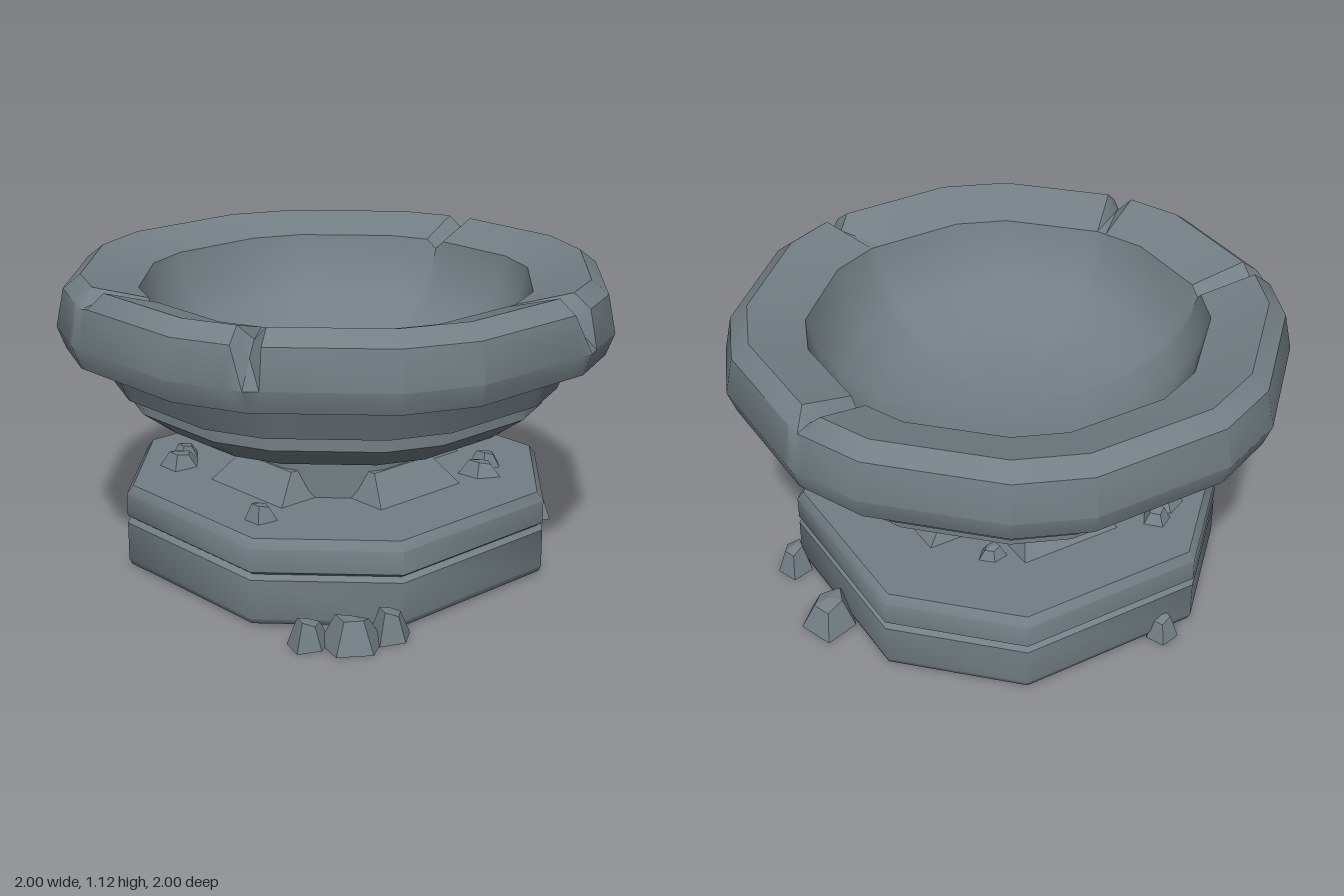
import * as THREE from 'three';
import { toCreasedNormals } from 'three/addons/utils/BufferGeometryUtils.js';

// Joins scaled copies of a section [x, z] along a profile of [scale, y].
// adjust(column, row, point) may shift single points.
function loft(section, profile, crease, adjust) {
  const pos = [], idx = [], n = section.length;
  profile.forEach(([s, y], j) => section.forEach((c) => {
    const p = adjust ? adjust(c, j, [s, y]) : [s, y];
    pos.push(c[0] * p[0], p[1], c[1] * p[0]);
  }));
  for (let j = 0; j < profile.length - 1; j++) {
    for (let i = 0; i < n; i++) {
      const k = (i + 1) % n;
      const a = j * n + i, b = j * n + k, c = a + n, d = b + n;
      if (profile[j][0] > 0) idx.push(a, b, c);
      if (profile[j + 1][0] > 0) idx.push(b, d, c);
    }
  }
  const g = new THREE.BufferGeometry();
  g.setAttribute('position', new THREE.Float32BufferAttribute(pos, 3));
  g.setIndex(idx);
  return toCreasedNormals(g, crease);
}

// Octagon-like outline, flat side at distance 1, repeated in each quarter
function quarters(points) {
  const out = [];
  for (let q = 0; q < 4; q++) {
    const c = Math.round(Math.cos(q * Math.PI / 2)), s = Math.round(Math.sin(q * Math.PI / 2));
    points.forEach(([x, z]) => out.push([x * c + z * s, z * c - x * s]));
  }
  return out;
}

export function createModel() {
  const model = new THREE.Group();
  const stone = new THREE.MeshStandardMaterial({ color: 0x737f85 });
  stone.name = 'grey stone';
  const add = (name, geometry, parent = model) => {
    const m = new THREE.Mesh(geometry, stone);
    m.name = name;
    parent.add(m);
    return m;
  };

  const round16 = quarters([[0.265, 1], [0.525, 0.89], [0.89, 0.525], [1, 0.265]]);
  const octagon = quarters([[0.49, 1], [1, 0.49]]);

  // Octagonal plinth: two slabs with a groove between them
  add('plinth', loft(octagon, [
    [0, 0], [0.7, 0], [0.722, 0.01], [0.73, 0.03], [0.73, 0.175], [0.71, 0.19],
    [0.73, 0.205], [0.73, 0.29], [0.708, 0.322], [0, 0.322],
  ], 0.83));

  // Stem with a sloping foot on four sides
  add('stem', loft(round16, [[0.35, 0.31], [0.35, 0.56]], 0.6));
  for (let q = 0; q < 4; q++) {
    const g = new THREE.BoxGeometry(1, 1, 1), p = g.attributes.position;
    for (let i = 0; i < p.count; i++) {
      const top = p.getY(i) > 0, front = p.getZ(i) > 0;
      p.setXYZ(i, p.getX(i) * (top ? 0.29 : 0.41), top ? 0.42 : 0.315,
        front ? (top ? 0.358 : 0.46) : 0.25);
    }
    add('stemFoot', toCreasedNormals(g, 0.2)).rotation.y = q * Math.PI / 2;
  }

  // Notch cuts per profile row: chips in the outer edge, or grooves across the rim
  const chip = { 9: [-0.045, -0.05], 10: [-0.03, -0.05] };
  const groove = { 9: [-0.01, -0.01], 10: [0, -0.045], 11: [0, -0.035] };
  const notches = { 0: chip, 4: groove, 11: groove, 13: chip };

  // Bowl outline: a notched corner becomes edge, valley, edge
  const outline = [];
  round16.forEach((v, i) => {
    if (!notches[i]) return outline.push(v);
    const toward = (w) => {
      const t = 0.055 / Math.hypot(w[0] - v[0], w[1] - v[1]);
      return [v[0] + (w[0] - v[0]) * t, v[1] + (w[1] - v[1]) * t];
    };
    outline.push(toward(round16[(i + 15) % 16]), [...v, notches[i]],
      toward(round16[(i + 1) % 16]));
  });

  // Bowl: stepped underside, thick rim sloping inward, and hollow inside
  const bowlProfile = [
    [0, 0.53], [0.36, 0.53], [0.635, 0.555], [0.755, 0.645], [0.755, 0.69], [0.805, 0.705],
    [0.86, 0.835], [0.97, 0.848], [1, 0.93], [0.972, 1.07], [0.91, 1.12],
    [0.71, 1.06], [0.68, 0.95], [0.6, 0.83], [0.47, 0.74], [0.3, 0.69], [0, 0.67],
  ];
  add('bowl', loft(outline, bowlProfile, 0.67, (c, j, [s, y]) =>
    c[2] && c[2][j] ? [s + c[2][j][0], y + c[2][j][1]] : [s, y]));

  // Broken stones: lopsided five-sided chunks
  const rubble = new THREE.Group();
  rubble.name = 'rubble';
  model.add(rubble);
  const rocks = [ // x, z, base y, radius, height
    [-0.57, 0.7, 0, 0.115, 0.11], [-0.68, 0.6, 0, 0.08, 0.1], [-0.43, 0.74, 0, 0.085, 0.11],
    [0.8, -0.03, 0, 0.125, 0.11], [0.78, 0.32, 0, 0.08, 0.11], [-0.22, -0.73, 0, 0.07, 0.09],
    [0.34, 0.43, 0.32, 0.085, 0.055], [0.42, 0.38, 0.32, 0.065, 0.06], [0.28, -0.35, 0.32, 0.055, 0.045],
    [-0.44, -0.41, 0.32, 0.09, 0.055], [-0.36, -0.48, 0.32, 0.065, 0.05], [-0.57, 0.22, 0.32, 0.07, 0.06],
  ];
  rocks.forEach(([x, z, y, r, h], k) => {
    const section = [];
    for (let i = 0; i < 5; i++) {
      const a = i * Math.PI * 0.4 + k * 1.3;
      const w = r * (0.93 + 0.12 * Math.sin(i * 2.3 + k * 1.7));
      section.push([Math.sin(a) * w, Math.cos(a) * w]);
    }
    const g = loft(section, [[0, 0], [1, 0], [0.52, h], [0, h]], 0.2,
      (c, j, [s, py]) => [s, j === 2 && c[0] > 0 ? py - h * 0.2 : py]);
    add('rock', g, rubble).position.set(x, y, z);
  });

  return model;
}
